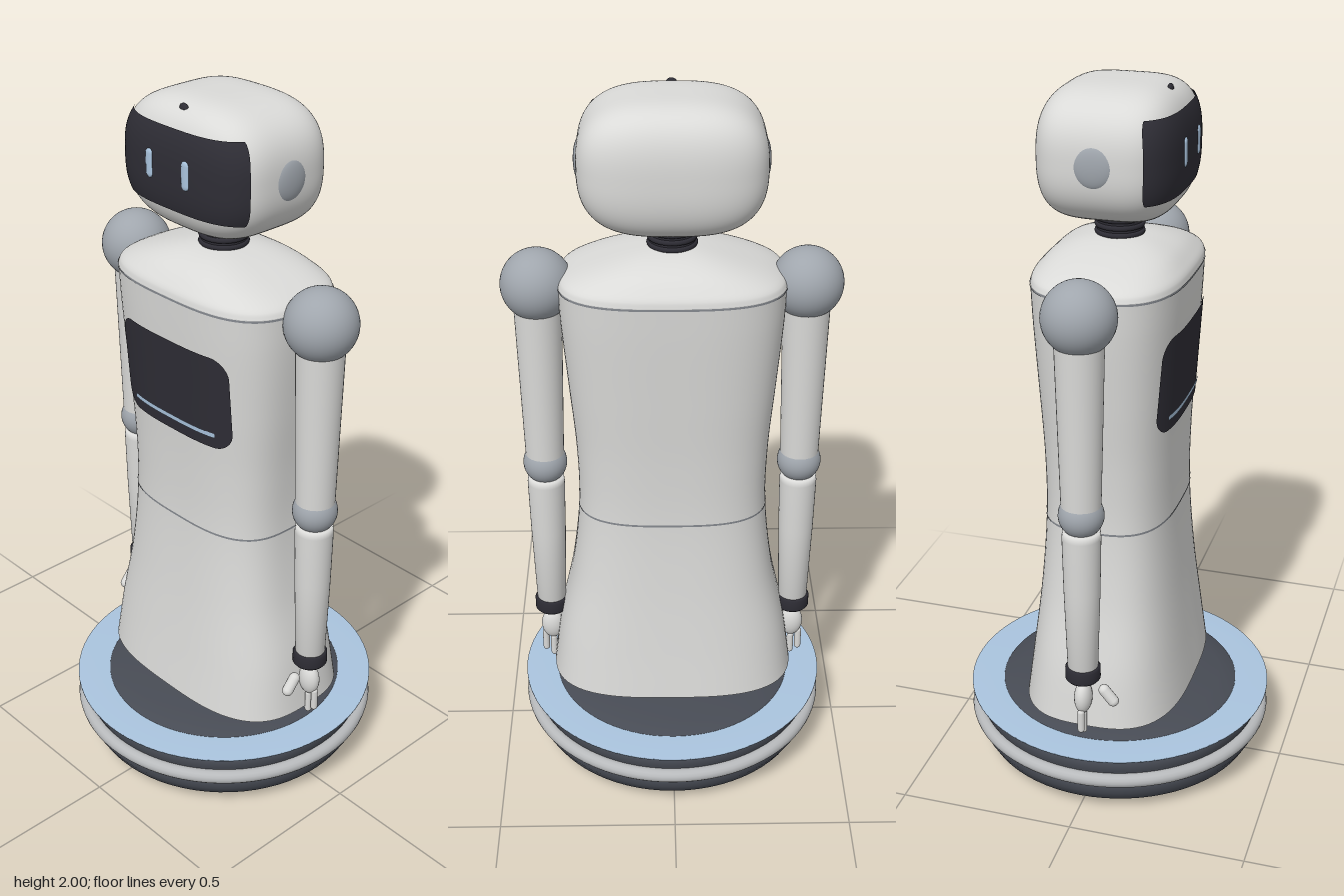
import * as THREE from 'three';

const mat = (name, color, side = THREE.FrontSide) => {
  const m = new THREE.MeshStandardMaterial({ color, side });
  m.name = name;
  return m;
};
const white = mat('shell white', 0xdadad8);
const grey = mat('joint grey', 0xa0a6ad);
const dark = mat('screen black', 0x2e2d35, THREE.DoubleSide);
const slate = mat('base slate', 0x474b54);
const blue = mat('light blue', 0xaac4de, THREE.DoubleSide);
const silver = mat('bumper silver', 0xb8babc);
const seamGrey = mat('seam grey', 0x868a90, THREE.DoubleSide);

function add(parent, name, geometry, material, x = 0, y = 0, z = 0) {
  const m = new THREE.Mesh(geometry, material);
  m.name = name;
  m.position.set(x, y, z);
  parent.add(m);
  return m;
}
const lathe = (pts, seg = 72) =>
  new THREE.LatheGeometry(pts.map(p => new THREE.Vector2(p[0], p[1])), seg);

// Smooth list of [height, half width, half depth] sections
const smooth = (rows, n) => new THREE.CatmullRomCurve3(
  rows.map(r => new THREE.Vector3(r[1], r[0], r[2])), false, 'centripetal')
  .getPoints(n).map(p => [p.y, Math.max(p.x, 0), Math.max(p.z, 0)]);

// Skin over rounded-oval sections, from the bottom up
function loft(rows, seg = 96) {
  const pos = [], idx = [];
  rows.forEach(([y, w, d], i) => {
    for (let j = 0; j < seg; j++) {
      const a = j / seg * Math.PI * 2, c = Math.cos(a), s = Math.sin(a);
      const r = Math.pow(Math.abs(c) ** 3 + Math.abs(s) ** 3, -1 / 3);
      pos.push(w * r * c, y, d * r * s);
      if (i === 0) continue;
      const k = (j + 1) % seg, lo = (i - 1) * seg, hi = i * seg;
      idx.push(lo + j, hi + j, hi + k, lo + j, hi + k, lo + k);
    }
  });
  const g = new THREE.BufferGeometry();
  g.setAttribute('position', new THREE.Float32BufferAttribute(pos, 3));
  g.setIndex(idx);
  g.computeVertexNormals();
  return g;
}

// Rounded rectangle draped over a surface by place(x, y) -> Vector3
function drape(w, h, r, place) {
  const g = new THREE.PlaneGeometry(2, 2, 40, 40), p = g.attributes.position;
  for (let i = 0; i < p.count; i++) {
    const y = h * Math.sin(p.getY(i) * Math.PI / 2);
    const over = Math.max(0, Math.abs(y) - (h - r));
    const half = w - r + Math.sqrt(Math.max(0, r * r - over * over));
    const v = place(p.getX(i) * half, y);
    p.setXYZ(i, v.x, v.y, v.z);
  }
  g.computeVertexNormals();
  return g;
}

// Torso sections
const torso = smooth([
  [0.25, 0.354, 0.234], [0.4, 0.332, 0.215], [0.6, 0.29, 0.194], [0.82, 0.266, 0.18],
  [1.0, 0.268, 0.181], [1.2, 0.284, 0.191], [1.4, 0.3, 0.202], [1.5, 0.304, 0.206]], 50);
function torsoAt(y) {
  const i = Math.max(1, torso.findIndex(r => r[0] >= y));
  const a = torso[i - 1], b = torso[i], t = (y - a[0]) / (b[0] - a[0]);
  return [y, a[1] + (b[1] - a[1]) * t, a[2] + (b[2] - a[2]) * t];
}
const chestPoint = (x, y, lift) => {
  const [, w, d] = torsoAt(y);
  return new THREE.Vector3(x, y, d * Math.cbrt(1 - Math.abs(x / w) ** 3) + lift);
};

// Head: a soft box given by |x/a|^p + |y/b|^q + |z/c|^r = 1
const HEAD = { size: [0.245, 0.175, 0.19], pow: [3, 2.7, 4] };
const headValue = v => [v.x, v.y, v.z].reduce(
  (s, q, i) => s + Math.abs(q / HEAD.size[i]) ** HEAD.pow[i], 0);
const headNormal = v => new THREE.Vector3(...[v.x, v.y, v.z].map((q, i) =>
  Math.sign(q) * HEAD.pow[i] / HEAD.size[i] * Math.abs(q / HEAD.size[i]) ** (HEAD.pow[i] - 1))).normalize();
function headPoint(origin, dir) {
  let lo = 0, hi = 0.6;
  for (let i = 0; i < 30; i++) {
    const t = (lo + hi) / 2;
    if (headValue(origin.clone().addScaledVector(dir, t)) < 1) lo = t; else hi = t;
  }
  return origin.clone().addScaledVector(dir, lo);
}
function headGeometry() {
  const s = HEAD.size.map(q => q * 2);
  const g = new THREE.BoxGeometry(...s, 28, 28, 28), p = g.attributes.position;
  for (let i = 0; i < p.count; i++) {
    const v = headPoint(new THREE.Vector3(), new THREE.Vector3().fromBufferAttribute(p, i).normalize());
    const n = headNormal(v);
    p.setXYZ(i, v.x, v.y, v.z);
    g.attributes.normal.setXYZ(i, n.x, n.y, n.z);
  }
  return g;
}

function buildBase(root) {
  const base = new THREE.Group();
  base.name = 'base';
  root.add(base);
  add(base, 'wheelHousing', lathe([[0, 0.005], [0.28, 0.01], [0.36, 0.022], [0.405, 0.045],
    [0.422, 0.075], [0.422, 0.1], [0.41, 0.125], [0.42, 0.15], [0.422, 0.175], [0.41, 0.196], [0.34, 0.199]]), slate);
  add(base, 'baseDome', lathe([[0.352, 0.199], [0.345, 0.208], [0.3, 0.219], [0.2, 0.233], [0, 0.242]]), slate);
  add(base, 'bumperRing', new THREE.TorusGeometry(0.426, 0.02, 14, 80).rotateX(Math.PI / 2), silver, 0, 0.125);
  add(base, 'lightRing', lathe([[0.345, 0.198], [0.445, 0.198], [0.445, 0.203], [0.345, 0.203]], 80), blue);
}

function buildBody(root) {
  const body = new THREE.Group();
  body.name = 'body';
  root.add(body);
  add(body, 'torso', loft(torso), white);
  add(body, 'torsoFloor', loft([[0.238, 0, 0], [0.238, 0.335, 0.216], [0.25, 0.354, 0.234]]), white);
  add(body, 'shoulderCap', loft(smooth([[1.5, 0.304, 0.206], [1.515, 0.296, 0.202], [1.535, 0.262, 0.186],
    [1.563, 0.185, 0.153], [1.585, 0.105, 0.1], [1.595, 0.045, 0.045], [1.597, 0, 0]], 30)), white);
  // Thin panel seams
  for (const [name, y] of [['waistSeam', 0.82], ['shoulderSeam', 1.496]]) {
    const [, w, d] = torsoAt(y);
    add(body, name, loft([[y - 0.003, w + 0.0015, d + 0.0015], [y + 0.003, w + 0.0015, d + 0.0015]]), seamGrey);
  }
  add(body, 'chestScreen', drape(0.208, 0.137, 0.055, (x, y) => chestPoint(x, y + 1.237, 0.004)), dark);
  add(body, 'chestLightBar', drape(0.16, 0.007, 0.004, (x, y) => chestPoint(x, y + 1.14, 0.007)), blue);
  // Ribbed neck
  add(body, 'neck', new THREE.CylinderGeometry(0.062, 0.062, 0.12, 40), dark, 0, 1.63);
  for (let i = 0; i < 4; i++)
    add(body, 'neckRib', new THREE.TorusGeometry(0.06, 0.008, 8, 40).rotateX(Math.PI / 2), dark, 0, 1.598 + i * 0.02);
}

function buildHead(root) {
  const head = new THREE.Group();
  head.name = 'head';
  head.position.y = 1.825;
  root.add(head);
  add(head, 'headShell', headGeometry(), white);
  // Visor wraps around the face by angle
  add(head, 'visor', drape(1.07, 0.104, 0.04, (a, y) => {
    const v = headPoint(new THREE.Vector3(0, y + 0.01, 0), new THREE.Vector3(Math.sin(a), 0, Math.cos(a)));
    return v.addScaledVector(headNormal(v), 0.004);
  }), dark);
  for (const s of [-1, 1]) {
    add(head, 'eye', new THREE.CapsuleGeometry(0.013, 0.05, 6, 16), blue, s * 0.067, 0.012, 0.192).scale.z = 0.4;
    add(head, 'earDisc', new THREE.SphereGeometry(0.055, 36, 20), grey, s * 0.236).scale.x = 0.3;
  }
  add(head, 'foreheadCamera', new THREE.SphereGeometry(0.016, 20, 14), dark, 0, 0.152, 0.133).scale.z = 0.5;
}

function buildArm(root, s) {
  const arm = new THREE.Group();
  arm.name = s > 0 ? 'leftArm' : 'rightArm';
  arm.position.x = s * 0.36;
  root.add(arm);
  add(arm, 'shoulder', new THREE.SphereGeometry(0.098, 40, 28), grey, 0, 1.478);
  add(arm, 'upperArm', new THREE.CylinderGeometry(0.066, 0.054, 0.49, 36), white, 0, 1.2);
  add(arm, 'elbow', new THREE.SphereGeometry(0.062, 32, 22), grey, 0, 0.925);
  add(arm, 'forearm', lathe([[0, 0.44], [0.042, 0.445], [0.05, 0.7], [0.053, 0.86], [0.051, 0.88], [0, 0.888]], 36), white);
  add(arm, 'wristCuff', lathe([[0, 0.414], [0.044, 0.414], [0.049, 0.42], [0.049, 0.452], [0.044, 0.458], [0, 0.458]], 36), dark);
  // Hand with three fingers and a forward thumb
  add(arm, 'palm', new THREE.SphereGeometry(1, 24, 18), white, 0, 0.352).scale.set(0.034, 0.05, 0.025);
  [[-0.023, 0.285], [0, 0.27], [0.023, 0.29]].forEach(([x, y]) =>
    add(arm, 'finger', new THREE.CapsuleGeometry(0.01, 0.055, 5, 12), white, x, y));
  add(arm, 'thumb', new THREE.CapsuleGeometry(0.016, 0.04, 6, 14), white, 0, 0.37, 0.074).rotation.x = -0.7 + Math.PI;
}

export function createModel() {
  const root = new THREE.Group();
  root.name = 'serviceRobot';
  buildBase(root);
  buildBody(root);
  buildHead(root);
  for (const s of [-1, 1]) buildArm(root, s);
  return root;
}
